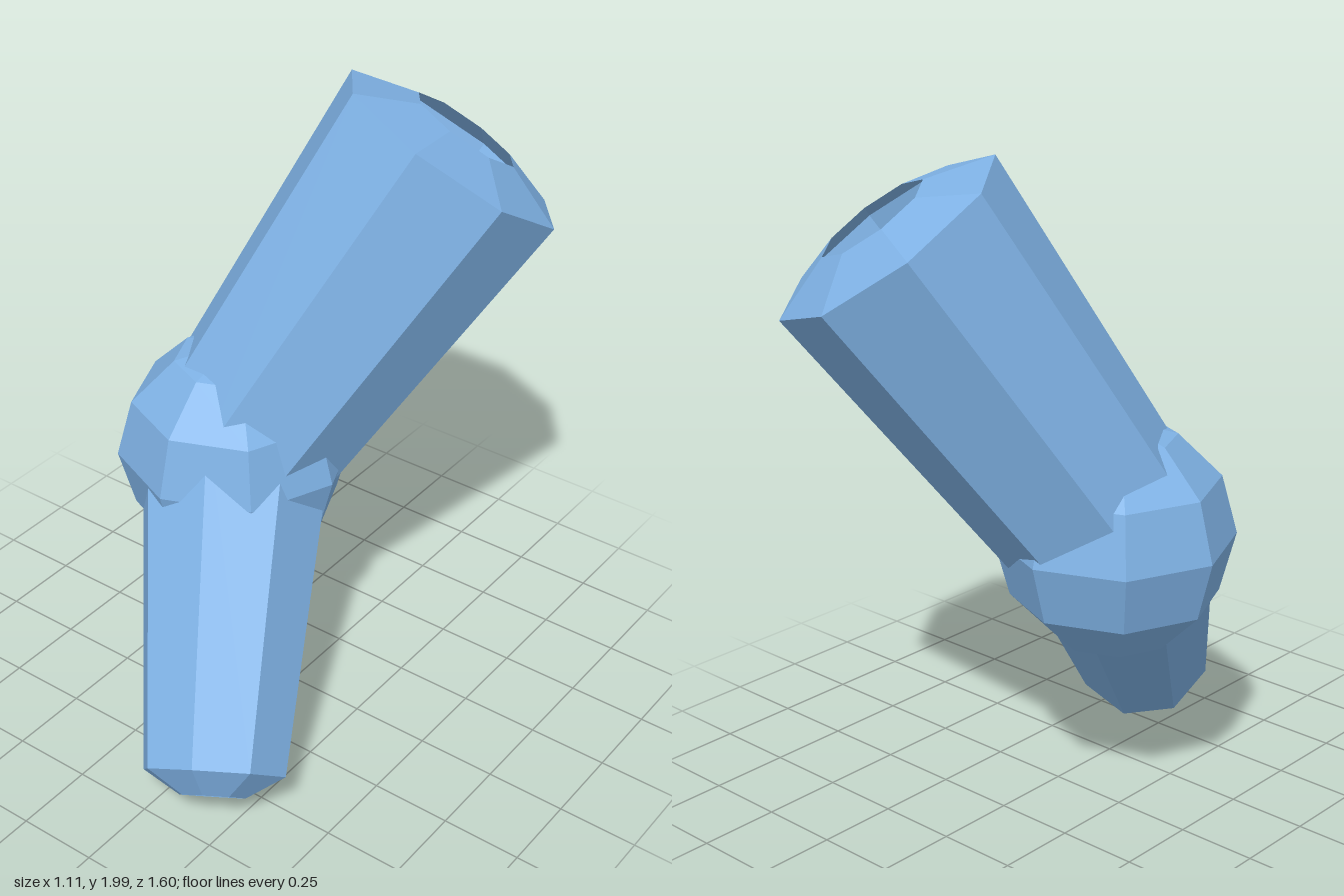
import * as THREE from 'three';

const JOINT = new THREE.Vector3(-0.195, 0.865, 0.035);
const material = new THREE.MeshStandardMaterial({
  color: 0x7fb2e5, flatShading: true, side: THREE.DoubleSide,
});

// Hollow eight-sided limb from the joint to an end ring, closed by a bevelled rim round a hole.
// "corner" is the direction from the end ring's centre to one of its corners.
function limb(name, end, corner, jointRadius, endRadius, holeRadius, rimHeight) {
  const axis = end.clone().sub(JOINT);
  const length = axis.length();
  axis.normalize();
  const x = new THREE.Vector3().crossVectors(axis, corner).normalize();
  const z = new THREE.Vector3().crossVectors(x, axis);

  const profile = [
    new THREE.Vector2(jointRadius, 0),
    new THREE.Vector2(endRadius, length),
    new THREE.Vector2(holeRadius, length + rimHeight),
  ];
  const mesh = new THREE.Mesh(new THREE.LatheGeometry(profile, 8), material);
  mesh.name = name;
  mesh.quaternion.setFromRotationMatrix(new THREE.Matrix4().makeBasis(x, axis, z));
  mesh.position.copy(JOINT);
  return mesh;
}

export function createModel() {
  const group = new THREE.Group();
  group.name = 'bentLimb';

  // Wide upper limb, leaning back
  group.add(limb('upperLimb', new THREE.Vector3(0.217, 1.783, -0.464),
    new THREE.Vector3(0.095, 0.14, 0.335), 0.3, 0.376, 0.175, 0.068));

  // Narrow lower limb, reaching forward
  group.add(limb('lowerLimb', new THREE.Vector3(0.174, 0.159, 0.628),
    new THREE.Vector3(0.045, 0.152, 0.153), 0.3, 0.22, 0.102, 0.068));

  // Faceted ball at the bend
  const joint = new THREE.Mesh(new THREE.SphereGeometry(0.362, 8, 6), material);
  joint.name = 'jointBall';
  joint.position.copy(JOINT);
  group.add(joint);

  return group;
}
